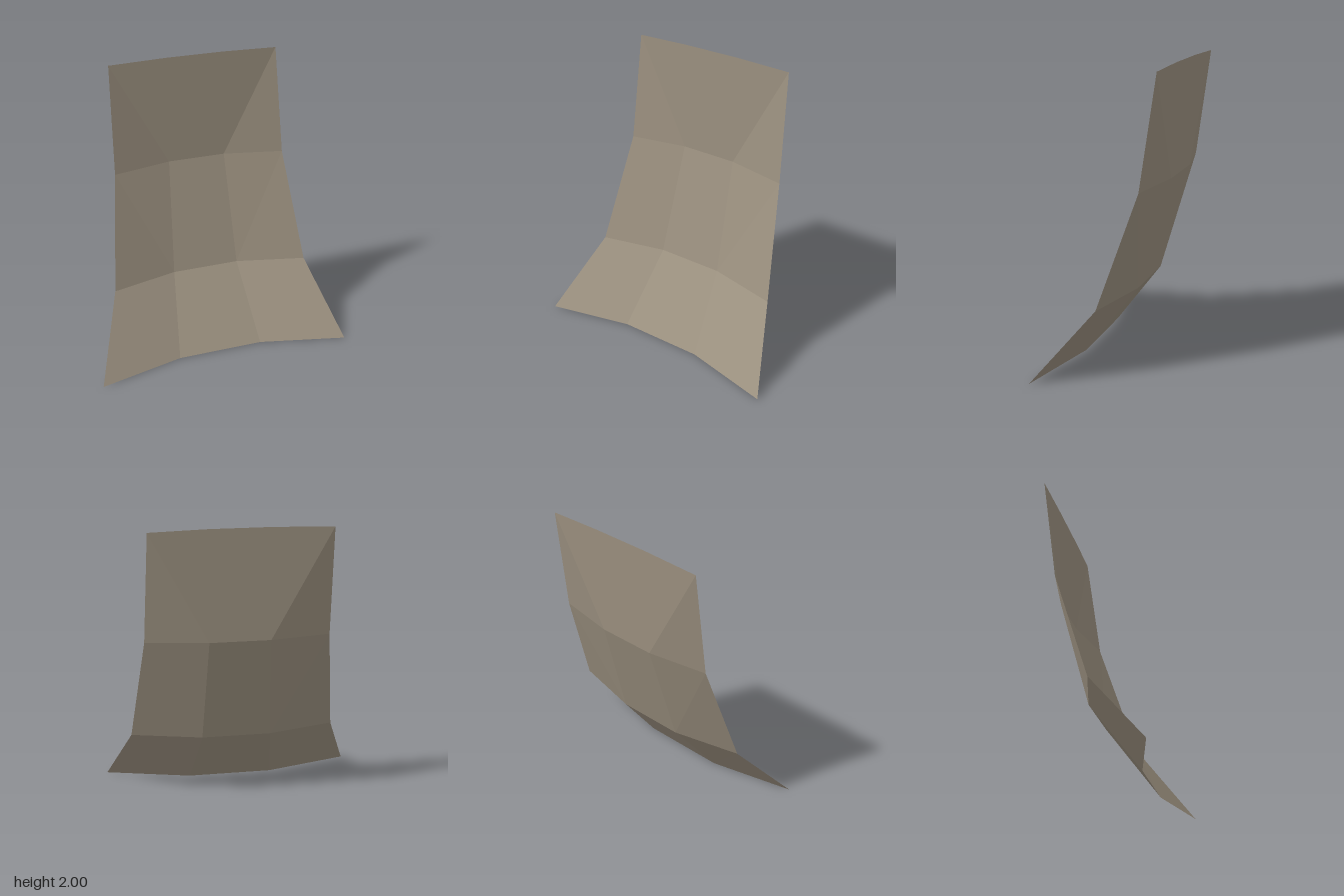
import * as THREE from 'three';

// Curved, flared panel: four cross-sections from the floor to the top edge
export function createModel() {
  const group = new THREE.Group();
  group.name = 'curvedPanel';

  const stone = new THREE.MeshStandardMaterial({ color: 0x9c9180, side: THREE.DoubleSide, flatShading: true });
  stone.name = 'warm stone grey';

  // each section: left-to-right corners as [x, y, z]
  const sections = [
    [[-0.89, 0, 0.37], [-0.31, 0, 0.23], [0.29, 0, 0.23], [0.89, 0, 0.37]],
    [[-0.695, 0.485, -0.02], [-0.24, 0.485, -0.13], [0.23, 0.485, -0.13], [0.71, 0.485, -0.02]],
    [[-0.6, 1.25, -0.27], [-0.2, 1.255, -0.345], [0.2, 1.255, -0.345], [0.61, 1.25, -0.27]],
    [[-0.585, 1.99, -0.37], [-0.2, 2, -0.37], [0.2, 2, -0.37], [0.575, 1.99, -0.37]],
  ];

  const positions = [];
  const triangle = (...corners) => corners.forEach((p) => positions.push(...p));
  for (let row = 0; row < 3; row++) {
    for (let col = 0; col < 3; col++) {
      const a = sections[row][col], b = sections[row][col + 1];
      const c = sections[row + 1][col + 1], d = sections[row + 1][col];
      // folds run from the outer top corner to the inner bottom corner
      if (col === 0) {
        triangle(a, b, d);
        triangle(b, c, d);
      } else {
        triangle(a, b, c);
        triangle(a, c, d);
      }
    }
  }

  const geometry = new THREE.BufferGeometry();
  geometry.setAttribute('position', new THREE.Float32BufferAttribute(positions, 3));
  geometry.computeVertexNormals();
  const panel = new THREE.Mesh(geometry, stone);
  panel.name = 'panel';
  group.add(panel);
  return group;
}
